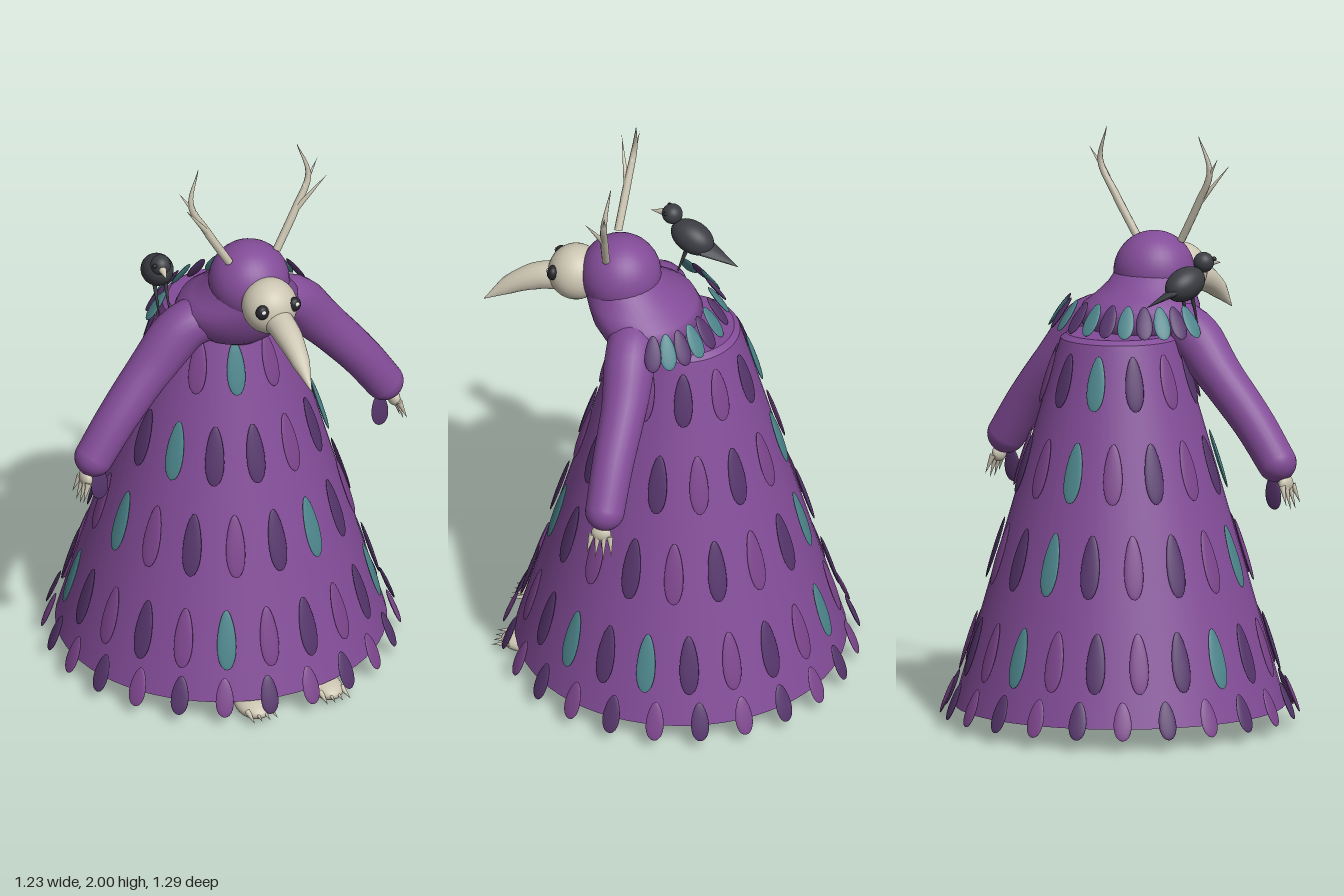
import * as THREE from 'three';
import { toCreasedNormals } from 'three/addons/utils/BufferGeometryUtils.js';

const paint = (name, color) => {
  const m = new THREE.MeshStandardMaterial({ color });
  m.name = name;
  return m;
};
const V = (x, y, z) => new THREE.Vector3(x, y, z);

export function createModel() {
  const purple = paint('robe purple', 0x834c98);
  const mauve = paint('mauve feather', 0x7c458c);
  const dark = paint('dark plum feather', 0x55356b);
  const teal = paint('teal feather', 0x4c858b);
  const bone = paint('bone', 0xcdc6b3);
  const black = paint('raven black', 0x3b3d43);
  const eyeMat = paint('eye black', 0x25252a);
  const glint = paint('eye glint', 0xe6e4df);

  const model = new THREE.Group();
  model.name = 'featheredFigure';
  const group = (name) => {
    const g = new THREE.Group();
    g.name = name;
    model.add(g);
    return g;
  };
  const add = (parent, name, geo, mat) => {
    const m = new THREE.Mesh(geo, mat);
    m.name = name;
    parent.add(m);
    return m;
  };
  const ball = (parent, name, mat, p, s) => {
    const m = add(parent, name, new THREE.SphereGeometry(1, 32, 20), mat);
    m.position.set(...p);
    m.scale.set(...s);
    return m;
  };
  // Tube through points whose radius varies along its length
  const taper = (parent, name, mat, pts, radii, sides = 16) => {
    const curve = new THREE.CatmullRomCurve3(pts.map((p) => V(...p)));
    const seg = 24;
    const geo = new THREE.TubeGeometry(curve, seg, 1, sides);
    const pos = geo.attributes.position;
    for (let i = 0; i <= seg; i++) {
      const c = curve.getPointAt(i / seg);
      const f = (i / seg) * (radii.length - 1);
      const k = Math.min(Math.floor(f), radii.length - 2);
      const r = THREE.MathUtils.lerp(radii[k], radii[k + 1], f - k);
      for (let j = 0; j <= sides; j++) {
        const n = i * (sides + 1) + j;
        const v = V().fromBufferAttribute(pos, n).sub(c).multiplyScalar(r).add(c);
        pos.setXYZ(n, v.x, v.y, v.z);
      }
    }
    return add(parent, name, geo, mat);
  };
  // Cone from a base point to a tip
  const spike = (parent, name, mat, a, b, r) => {
    const from = V(...a), to = V(...b), d = to.clone().sub(from);
    const m = add(parent, name, new THREE.ConeGeometry(r, d.length(), 12), mat);
    m.position.copy(from).add(to).multiplyScalar(0.5);
    m.quaternion.setFromUnitVectors(V(0, 1, 0), d.normalize());
    return m;
  };

  // Egg-shaped thin feather, broader towards its lower end
  const egg = new THREE.SphereGeometry(1, 20, 14);
  const ep = egg.attributes.position;
  for (let i = 0; i < ep.count; i++) ep.setX(i, ep.getX(i) * (1 - 0.22 * ep.getY(i)));
  egg.computeVertexNormals();
  const feather = (parent, mat, p, yaw, tilt, w, l) => {
    const m = add(parent, 'feather', egg, mat);
    m.position.set(...p);
    m.rotation.set(-tilt, yaw, 0, 'YXZ');
    m.scale.set(w / 2, l / 2, 0.007);
  };

  // Robe
  const ROBE_Z = -0.04;
  const profile = [[0, 0.07], [0.562, 0.07], [0.208, 1.3], [0.2, 1.325], [0.18, 1.34], [0, 1.34]];
  const robe = add(model, 'robe', toCreasedNormals(
    new THREE.LatheGeometry(profile.map((p) => new THREE.Vector2(...p)), 64), 0.6), purple);
  robe.position.z = ROBE_Z;

  // Rows of robe feathers: height, count, phase, lift, tilt, width, length, teal places
  const rows = [
    [0.1, 24, 0.08, 0.03, 0.38, 0.06, 0.135, []],
    [0.285, 22, 0.1428, 0.012, 0.3, 0.064, 0.21, [20, 3, 5, 10, 15]],
    [0.6, 18, 0, 0.012, 0.3, 0.064, 0.22, [1, 9, 14]],
    [0.905, 15, -0.11, 0.012, 0.3, 0.064, 0.21, [13, 8, 3]],
    [1.2, 12, 0.2618, 0.012, 0.3, 0.062, 0.19, [11, 6]],
  ];
  const robeFeathers = group('robeFeathers');
  for (const [y, n, phase, lift, tilt, w, l, teals] of rows) {
    const r = 0.562 - (y - 0.07) * 0.288 + lift;
    for (let k = 0; k < n; k++) {
      const a = phase + (k * Math.PI * 2) / n;
      const mat = teals.includes(k) ? teal : (k + (n % 4 ? 0 : 1)) % 2 ? mauve : dark;
      feather(robeFeathers, mat, [r * Math.sin(a), y, ROBE_Z + r * Math.cos(a)], a, tilt, w, l);
    }
  }

  // Hunched torso lofted from ellipses: height, half width, back z, front z
  const sections = [
    [1.263, 0.001, 0.13, 0.132], [1.27, 0.07, 0.07, 0.18], [1.29, 0.13, 0, 0.205],
    [1.33, 0.19, -0.08, 0.235], [1.38, 0.215, -0.11, 0.262], [1.42, 0.205, -0.09, 0.275],
    [1.45, 0.175, -0.045, 0.285], [1.49, 0.143, 0.005, 0.29], [1.53, 0.125, 0.04, 0.285],
    [1.57, 0.08, 0.09, 0.24],
  ];
  const N = 40, verts = [], index = [];
  sections.forEach(([y, rx, z0, z1], i) => {
    for (let j = 0; j < N; j++) {
      const a = (j / N) * Math.PI * 2;
      verts.push(rx * Math.sin(a), y, (z0 + z1) / 2 + ((z1 - z0) / 2) * Math.cos(a));
      if (!i) continue;
      const p = (i - 1) * N + j, q = (i - 1) * N + ((j + 1) % N);
      index.push(p, q, p + N, q, q + N, p + N);
    }
  });
  const torso = new THREE.BufferGeometry();
  torso.setAttribute('position', new THREE.Float32BufferAttribute(verts, 3));
  torso.setIndex(index);
  torso.computeVertexNormals();
  add(model, 'torso', torso, purple);

  // Head, mask and beak
  ball(model, 'head', purple, [0, 1.522, 0.17], [0.138, 0.138, 0.138]);
  ball(model, 'mask', bone, [0, 1.503, 0.325], [0.095, 0.097, 0.095]);
  taper(model, 'beak', bone,
    [[0, 1.48, 0.37], [0, 1.465, 0.45], [0, 1.42, 0.54], [0, 1.335, 0.645]],
    [0.052, 0.046, 0.031, 0.001]);

  // Feather collar round the back
  const collar = group('collar');
  for (let k = 0; k < 12; k++) {
    const a = (k - 5.5) * 0.245;
    feather(collar, k % 2 ? dark : teal,
      [0.27 * Math.sin(a), 1.395, 0.04 - 0.2 * Math.cos(a)], Math.PI - a, 0.6, 0.056, 0.125);
  }

  for (const s of [1, -1]) {
    // Eyes
    ball(model, 'eye', eyeMat, [s * 0.06, 1.527, 0.392], [0.024, 0.026, 0.02]);
    ball(model, 'eyeGlint', glint, [s * 0.063, 1.535, 0.409], [0.008, 0.008, 0.005]);

    // Antlers
    const antler = group('antler');
    taper(antler, 'antlerBeam', bone, [[s * 0.09, 1.63, 0.2], [s * 0.17, 1.77, 0.187],
      [s * 0.222, 1.88, 0.175], [s * 0.187, 2, 0.16]], [0.014, 0.014, 0.011, 0.001], 8);
    spike(antler, 'antlerTine', bone, [s * 0.165, 1.76, 0.188], [s * 0.268, 1.9, 0.23], 0.011);
    spike(antler, 'antlerTine', bone, [s * 0.205, 1.84, 0.18], [s * 0.262, 1.93, 0.165], 0.009);

    // Arms
    const arm = group('arm');
    taper(arm, 'sleeve', purple, [[s * 0.1, 1.37, 0.1], [s * 0.2, 1.345, 0.088],
      [s * 0.32, 1.215, 0.08], [s * 0.46, 1.05, 0.09], [s * 0.548, 0.925, 0.095]],
      [0.08, 0.087, 0.076, 0.071, 0.067], 24);
    ball(arm, 'cuff', purple, [s * 0.548, 0.925, 0.095], [0.067, 0.067, 0.067]);
    const hand = group('hand');
    ball(hand, 'palm', bone, [s * 0.582, 0.855, 0.1], [0.02, 0.03, 0.034]);
    for (let i = 0; i < 4; i++) {
      const z = (i - 1.5) * 0.021;
      spike(hand, 'claw', bone, [s * 0.588, 0.85, 0.1 + z],
        [s * 0.612, i % 3 ? 0.768 : 0.785, 0.1 + z * 1.35], 0.011);
    }
    feather(hand, dark, [s * 0.53, 0.82, 0.1], 0, 0.1, 0.062, 0.12);

    // Feet
    const foot = group('foot');
    ball(foot, 'footPad', bone, [s * 0.138, 0.033, 0.47], [0.055, 0.033, 0.082]);
    for (let i = 0; i < 4; i++) {
      const x = s * 0.138 + (i - 1.5) * 0.026;
      spike(foot, 'toeClaw', bone, [x, 0.04, 0.515], [x + (i - 1.5) * 0.003, 0.028, 0.578], 0.011);
    }
  }

  // Raven perched over the right shoulder
  const raven = group('raven');
  const body = ball(raven, 'ravenBody', black, [-0.252, 1.525, -0.02], [0.055, 0.055, 0.08]);
  body.rotation.set(-0.35, -0.25, 0, 'YXZ');
  ball(raven, 'ravenHead', black, [-0.277, 1.592, 0.056], [0.035, 0.035, 0.035]);
  spike(raven, 'ravenBeak', bone, [-0.284, 1.59, 0.083], [-0.295, 1.582, 0.135], 0.014);
  const tail = spike(raven, 'ravenTail', black, [-0.235, 1.5, -0.07], [-0.205, 1.46, -0.19], 0.04);
  tail.scale.set(1, 1, 0.35);
  for (const s of [1, -1]) {
    ball(raven, 'ravenEye', eyeMat, [-0.281 + s * 0.027, 1.604, 0.073], [0.008, 0.008, 0.008]);
    spike(raven, 'ravenLeg', black, [-0.25 + s * 0.02, 1.5, -0.01],
      [-0.25 + s * 0.02, 1.35, 0.04], 0.009);
  }
  return model;
}
